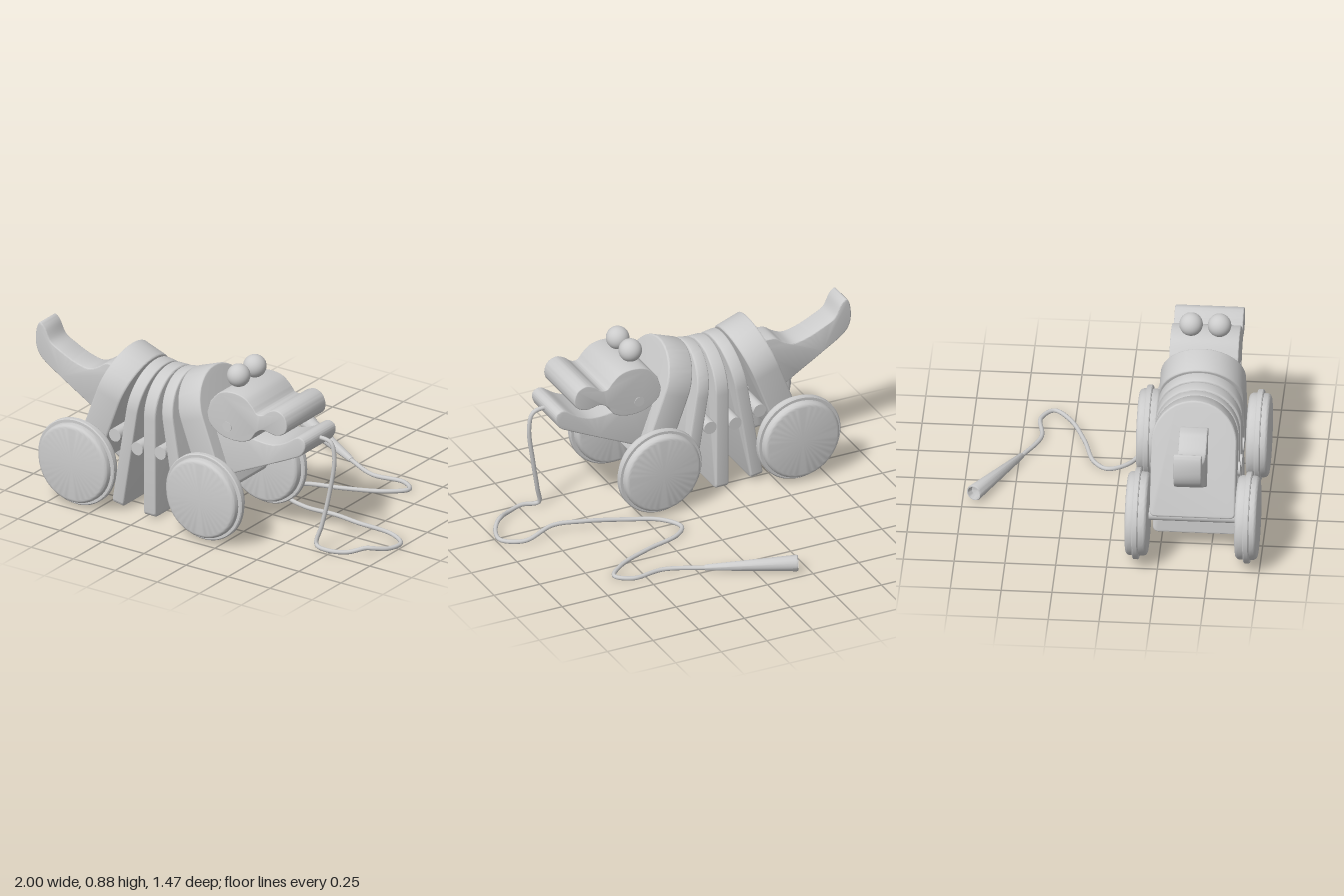
import * as THREE from 'three';
import { toCreasedNormals } from 'three/addons/utils/BufferGeometryUtils.js';

const V2 = (x, y) => new THREE.Vector2(x, y);
const V3 = (p) => new THREE.Vector3(...p);
const mat = new THREE.MeshStandardMaterial({ color: 0xcccccc });
const doubleMat = new THREE.MeshStandardMaterial({ color: 0xcccccc, side: THREE.DoubleSide });

function add(parent, name, geo, pos = [0, 0, 0], material = mat) {
  const m = new THREE.Mesh(geo, material);
  m.name = name;
  m.position.set(...pos);
  parent.add(m);
  return m;
}

// Extruded board centred on z, with softened edges
function slab(shape, depth, bevel = 0.008, curveSegments = 20) {
  const g = new THREE.ExtrudeGeometry(shape, {
    depth: depth - 2 * bevel, bevelThickness: bevel, bevelSize: bevel,
    bevelOffset: -bevel, bevelSegments: 3, curveSegments,
  });
  g.translate(0, 0, -depth / 2 + bevel);
  return toCreasedNormals(g, 0.6);
}

// Closed outline: a smooth curve, then a straight run along the remaining corners
function outline(curve, corners = []) {
  const pts = new THREE.SplineCurve(curve.map((p) => V2(...p))).getPoints(curve.length * 6);
  return new THREE.Shape([...pts, ...corners.map((p) => V2(...p))]);
}

// Arched body plate: round top, small rounded bottom corners, origin at bottom centre
function plateGeometry(height, thickness, halfWidth = 0.21, r = 0.03) {
  const s = new THREE.Shape();
  s.moveTo(-halfWidth + r, 0);
  s.lineTo(halfWidth - r, 0);
  s.quadraticCurveTo(halfWidth, 0, halfWidth, r);
  s.lineTo(halfWidth, height - halfWidth);
  s.absarc(0, height - halfWidth, halfWidth, 0, Math.PI, false);
  s.lineTo(-halfWidth, r);
  s.quadraticCurveTo(-halfWidth, 0, -halfWidth + r, 0);
  return slab(s, thickness).rotateY(Math.PI / 2);
}

const rod = (r, len) => new THREE.CylinderGeometry(r, r, len, 28).rotateX(Math.PI / 2);

function wheelGeometry() {
  const h = 0.054, r = 0.207, b = 0.022;
  const pts = [V2(0, -h)];
  for (let i = 0; i <= 5; i++) {
    const a = (i / 5) * Math.PI / 2;
    pts.push(V2(r - b + b * Math.sin(a), -h + b - b * Math.cos(a)));
  }
  // tyre band
  pts.push(V2(r, -0.012), V2(0.221, -0.012), V2(0.226, -0.007), V2(0.226, 0.013), V2(0.221, 0.018), V2(r, 0.018));
  for (let i = 0; i <= 5; i++) {
    const a = (i / 5) * Math.PI / 2;
    pts.push(V2(r - b + b * Math.cos(a), h - b + b * Math.sin(a)));
  }
  pts.push(V2(0, h));
  return toCreasedNormals(new THREE.LatheGeometry(pts, 64).rotateX(Math.PI / 2), 0.6);
}

export function createModel() {
  const root = new THREE.Group();
  root.name = 'pullToy';
  const toy = new THREE.Group();
  toy.name = 'body';
  toy.position.z = 0.415;
  root.add(toy);

  // Body plates fanned about the middle one
  const midX = -0.225;
  add(toy, 'middlePlate', plateGeometry(0.735, 0.07, 0.212), [midX, 0.01, 0]);
  for (const s of [1, -1]) {
    const end = s > 0 ? 'front' : 'rear';
    const thin = add(toy, end + 'Rib', plateGeometry(0.735, 0.066), [midX + s * 0.193, 0.025, 0]);
    thin.rotation.z = s * 0.162;
    const thick = add(toy, end + 'Block', plateGeometry(0.587, 0.14), [midX + s * 0.382, 0.235, 0]);
    thick.rotation.z = s * 0.356;
  }

  // Dowels between plates and the cord tying them together
  for (const [x, y] of [[-0.425, 0.4], [-0.292, 0.36], [-0.155, 0.37]]) {
    add(toy, 'dowel', rod(0.034, 0.44), [x, y, 0]);
  }
  const tie = new THREE.CatmullRomCurve3(
    [[-0.56, 0.46, 0], [-0.42, 0.4, 0], [-0.225, 0.36, 0], [-0.07, 0.4, 0], [0.05, 0.47, 0]].map(V3));
  add(toy, 'bodyCord', new THREE.TubeGeometry(tie, 30, 0.018, 10));

  // Wheels and axles
  const wheel = wheelGeometry();
  for (const x of [-0.61, 0.15]) {
    add(toy, 'axle', rod(0.03, 0.6), [x, 0.235, 0]);
    for (const s of [1, -1]) {
      add(toy, s > 0 ? 'leftWheel' : 'rightWheel', wheel, [x, 0.235, s * 0.27]).rotation.y = s > 0 ? 0 : Math.PI;
    }
  }

  // Tail
  add(toy, 'tail', slab(outline([
    [-0.715, 0.47], [-0.84, 0.545], [-0.955, 0.62], [-0.995, 0.68], [-0.998, 0.76], [-0.978, 0.812],
    [-0.945, 0.79], [-0.91, 0.725], [-0.85, 0.69], [-0.77, 0.655], [-0.69, 0.638], [-0.63, 0.66],
    [-0.585, 0.69], [-0.53, 0.695]], [[-0.46, 0.66], [-0.58, 0.385]]).clone(), 0.138, 0.006));

  // Lower jaw
  add(toy, 'lowerJaw', slab(outline([
    [0.4, 0.408], [0.57, 0.488], [0.625, 0.52], [0.648, 0.565], [0.64, 0.6], [0.6, 0.61], [0.53, 0.565],
    [0.46, 0.537], [0.38, 0.535], [0.25, 0.555]], [[0.12, 0.53], [0.15, 0.3], [0.2, 0.315]]), 0.27, 0.006));

  // Upper head with snout, hinge pin and eyes
  add(toy, 'head', slab(outline([
    [0.09, 0.635], [0.105, 0.58], [0.17, 0.532], [0.26, 0.52], [0.34, 0.542], [0.38, 0.592], [0.425, 0.617],
    [0.495, 0.607], [0.55, 0.63], [0.564, 0.675], [0.545, 0.722], [0.5, 0.741], [0.455, 0.725], [0.42, 0.698],
    [0.385, 0.695], [0.355, 0.728], [0.31, 0.763], [0.24, 0.775], [0.165, 0.757], [0.11, 0.7]]),
  0.34, 0.005));
  add(toy, 'hingePin', rod(0.026, 0.346), [0.21, 0.585, 0]);
  for (const s of [1, -1]) {
    add(toy, s > 0 ? 'leftEye' : 'rightEye', new THREE.SphereGeometry(0.058, 32, 20), [0.21, 0.825, s * 0.07]);
  }

  // Pull cord: from the jaw tip to the ground and back to the handle
  const cord = new THREE.CatmullRomCurve3([
    [0.61, 0.565, 0.415], [0.65, 0.574, 0.415], [0.71, 0.56, 0.413], [0.73, 0.48, 0.413], [0.703, 0.275, 0.422],
    [0.672, 0.115, 0.44], [0.655, 0.022, 0.46], [0.735, 0.016, 0.482], [0.83, 0.016, 0.445], [0.9, 0.034, 0.385],
    [0.93, 0.03, 0.36], [0.97, 0.017, 0.3], [0.985, 0.016, 0.21], [0.885, 0.02, 0.145], [0.715, 0.048, 0.18],
    [0.565, 0.045, 0.155], [0.35, 0.022, 0.115], [0.19, 0.016, 0.045], [0.13, 0.016, -0.06], [0.19, 0.016, -0.13],
    [0.375, 0.016, -0.19], [0.565, 0.016, -0.275], [0.645, 0.016, -0.36], [0.57, 0.016, -0.42],
    [0.4, 0.016, -0.405], [0.2, 0.02, -0.494]].map(V3));
  add(root, 'pullCord', new THREE.TubeGeometry(cord, 260, 0.011, 10));

  // Tapered handle with a hollow wide end
  const a = V3([0.215, 0.021, -0.487]), b = V3([-0.195, 0.05, -0.695]);
  const len = a.distanceTo(b);
  const profile = [V2(0, 0), V2(0.012, 0), V2(0.015, 0.006), V2(0.041, len - 0.008), V2(0.038, len),
    V2(0.033, len), V2(0.028, len - 0.03), V2(0, len - 0.04)];
  const handle = add(root, 'handle',
    toCreasedNormals(new THREE.LatheGeometry(profile, 28), 0.6), a.toArray(), doubleMat);
  handle.quaternion.setFromUnitVectors(new THREE.Vector3(0, 1, 0), b.clone().sub(a).normalize());

  return root;
}
